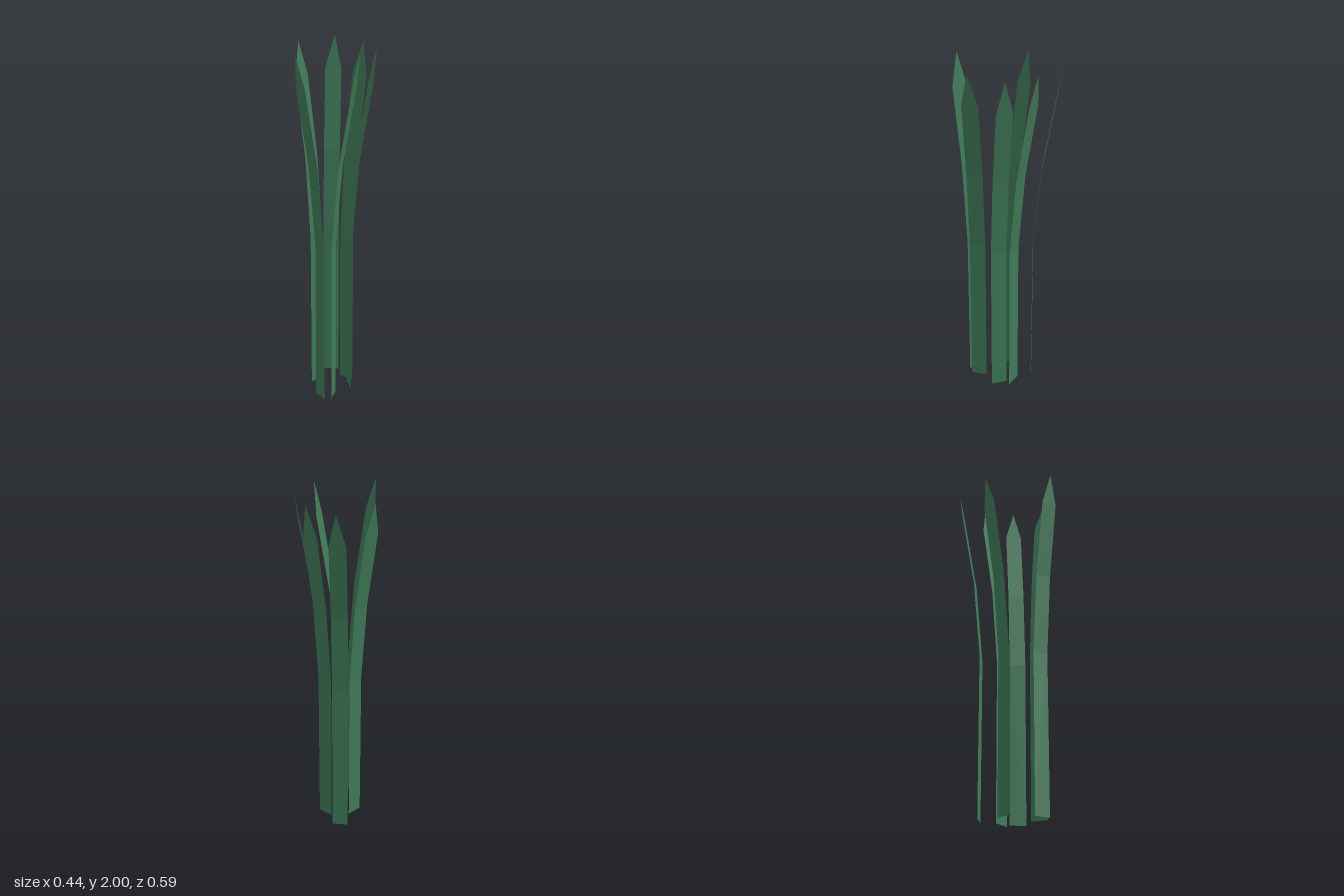
import * as THREE from 'three';

const HALF = 0.045; // half the blade width

// One flat blade: upright stem, two outward bends, pointed tip. It leans to +x.
function bladeGeometry() {
  const rows = [[0, 0], [0, 0.92], [0.039, 1.38], [0.112, 1.82]]; // [lean, height]
  const positions = [];
  const index = [];
  rows.forEach(([x, y], i) => {
    positions.push(x, y, HALF, x, y, -HALF);
    if (i > 0) {
      const a = 2 * (i - 1);
      index.push(a, a + 1, a + 3, a, a + 3, a + 2);
    }
  });
  // slightly off-centre tip
  positions.push(0.14, 2, 0.005);
  const n = 2 * rows.length;
  index.push(n - 2, n - 1, n);

  const geometry = new THREE.BufferGeometry();
  geometry.setAttribute('position', new THREE.Float32BufferAttribute(positions, 3));
  geometry.setIndex(index);
  const flat = geometry.toNonIndexed();
  flat.computeVertexNormals();
  return flat;
}

export function createModel() {
  const group = new THREE.Group();
  group.name = 'grassClump';
  const material = new THREE.MeshStandardMaterial({
    color: 0x3f7a58, side: THREE.DoubleSide, flatShading: true,
  });
  const geometry = bladeGeometry();

  // Ring of blades: base x, base z, lean direction in degrees from +x towards +z
  const blades = [
    [0.041, 0.141, 0],
    [0.096, 0.005, -30],
    [0.056, -0.073, -70],
    [-0.06, -0.156, -100],
    [-0.1025, -0.0075, -150],
    [-0.0265, 0.179, 130],
  ];
  blades.forEach(([x, z, degrees], i) => {
    const blade = new THREE.Mesh(geometry, material);
    blade.name = `blade${i + 1}`;
    blade.position.set(x, 0, z);
    blade.rotation.y = -THREE.MathUtils.degToRad(degrees);
    group.add(blade);
  });
  return group;
}
